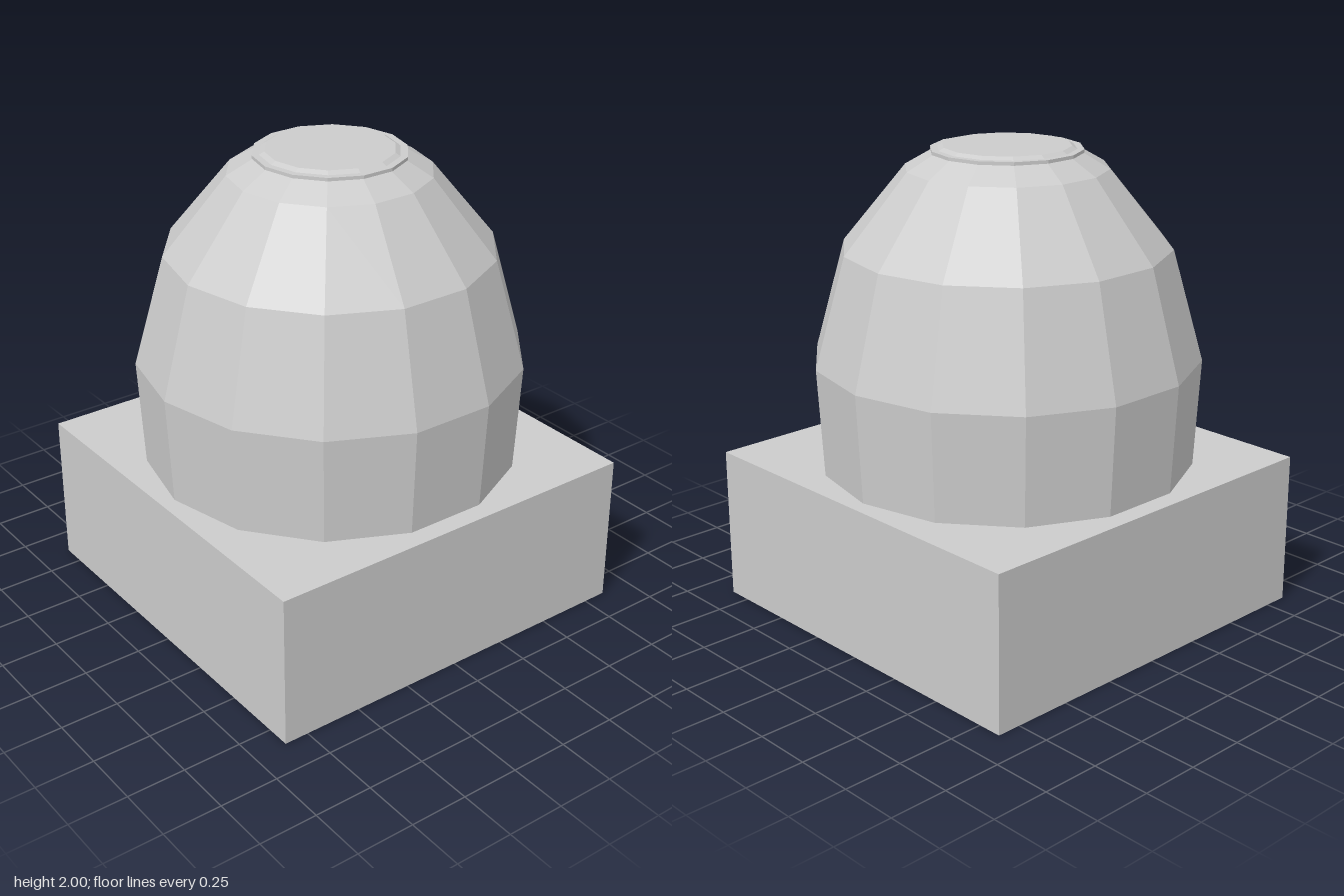
import * as THREE from 'three';

const SIDES = 14;

export function createModel() {
  const group = new THREE.Group();
  const grey = new THREE.MeshStandardMaterial({ color: 0xcccccc, flatShading: true });
  grey.name = 'light grey';

  const add = (name, geometry, y = 0) => {
    const mesh = new THREE.Mesh(geometry, grey);
    mesh.name = name;
    mesh.position.y = y;
    group.add(mesh);
  };

  // Square plinth
  add('base', new THREE.BoxGeometry(1.71, 0.66, 1.71), 0.33);

  // Faceted dome with a flat cap, profile given as [radius, height]
  const profile = [
    [0.79, 0.655], [0.815, 1.12], [0.685, 1.585], [0.42, 1.91], [0.265, 2], [0, 2],
  ].map(([r, y]) => new THREE.Vector2(r, y));
  add('dome', new THREE.LatheGeometry(profile, SIDES));

  // Thin collar just below the cap
  add('collar', new THREE.CylinderGeometry(0.315, 0.315, 0.014, SIDES), 1.981);

  return group;
}
